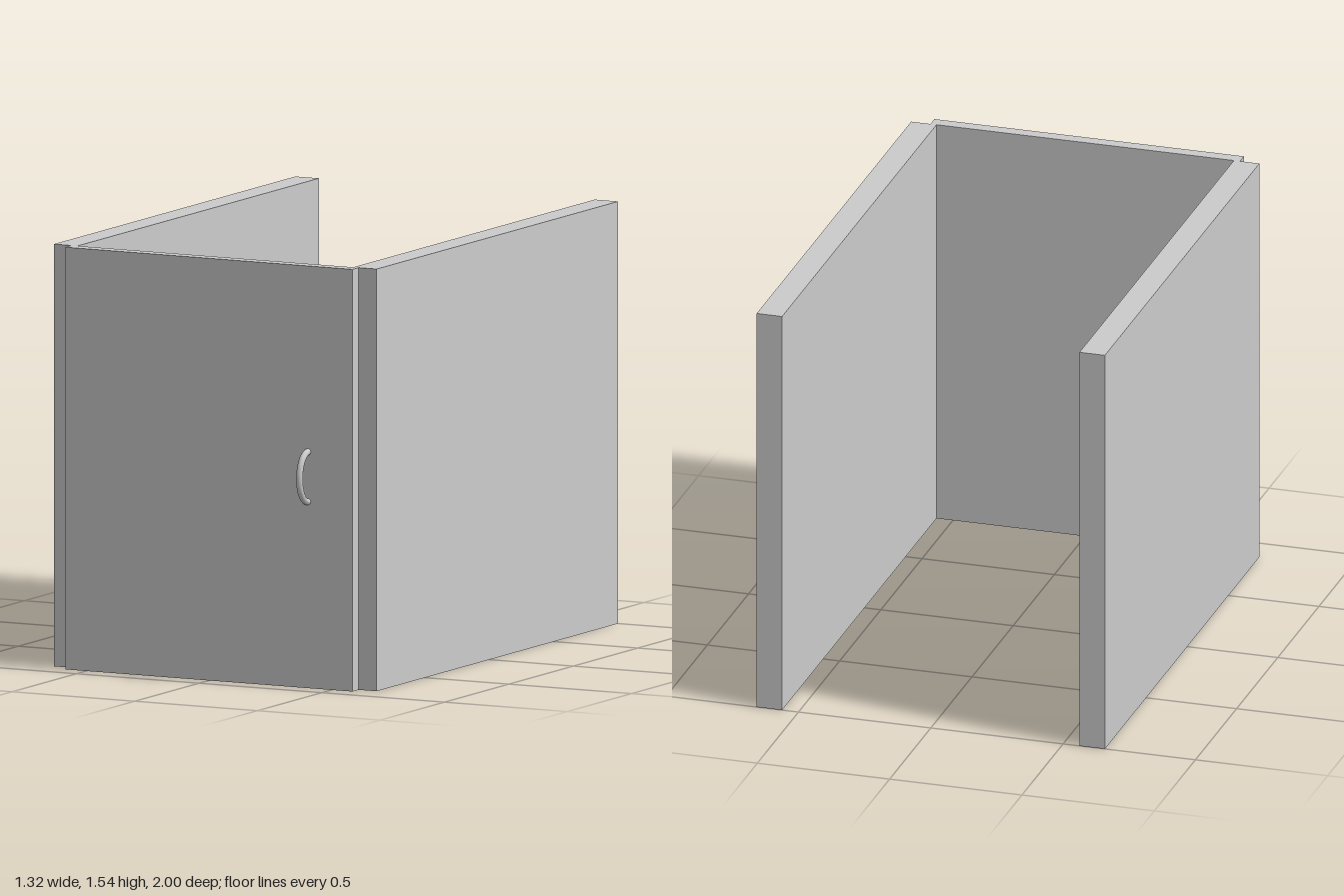
import * as THREE from 'three';

const HEIGHT = 1.54;

export function createModel() {
  const group = new THREE.Group();
  const material = new THREE.MeshStandardMaterial({ color: 0xcccccc });

  // Upright panel given by its x and z extents, standing on the ground
  const panel = (name, x0, x1, z0, z1) => {
    const mesh = new THREE.Mesh(new THREE.BoxGeometry(x1 - x0, HEIGHT, z1 - z0), material);
    mesh.position.set((x0 + x1) / 2, HEIGHT / 2, (z0 + z1) / 2);
    mesh.name = name;
    group.add(mesh);
  };

  // Two thick side walls and the thinner door across their front ends
  panel('leftWall', 0.562, 0.658, -1, 0.875);
  panel('rightWall', -0.658, -0.562, -1, 0.875);
  panel('door', -0.585, 0.585, 0.875, 0.923);

  // Bow handle: half an ellipse standing out from the door
  const points = [];
  for (let i = 0; i <= 16; i++) {
    const a = -Math.PI / 2 + (Math.PI * i) / 16;
    points.push(new THREE.Vector3(0, 0.091 * Math.sin(a), 0.066 * Math.cos(a)));
  }
  const curve = new THREE.CatmullRomCurve3(points);
  const handle = new THREE.Mesh(new THREE.TubeGeometry(curve, 32, 0.012, 12), material);
  handle.position.set(0.403, 0.771, 0.922);
  handle.name = 'doorHandle';
  group.add(handle);

  return group;
}
